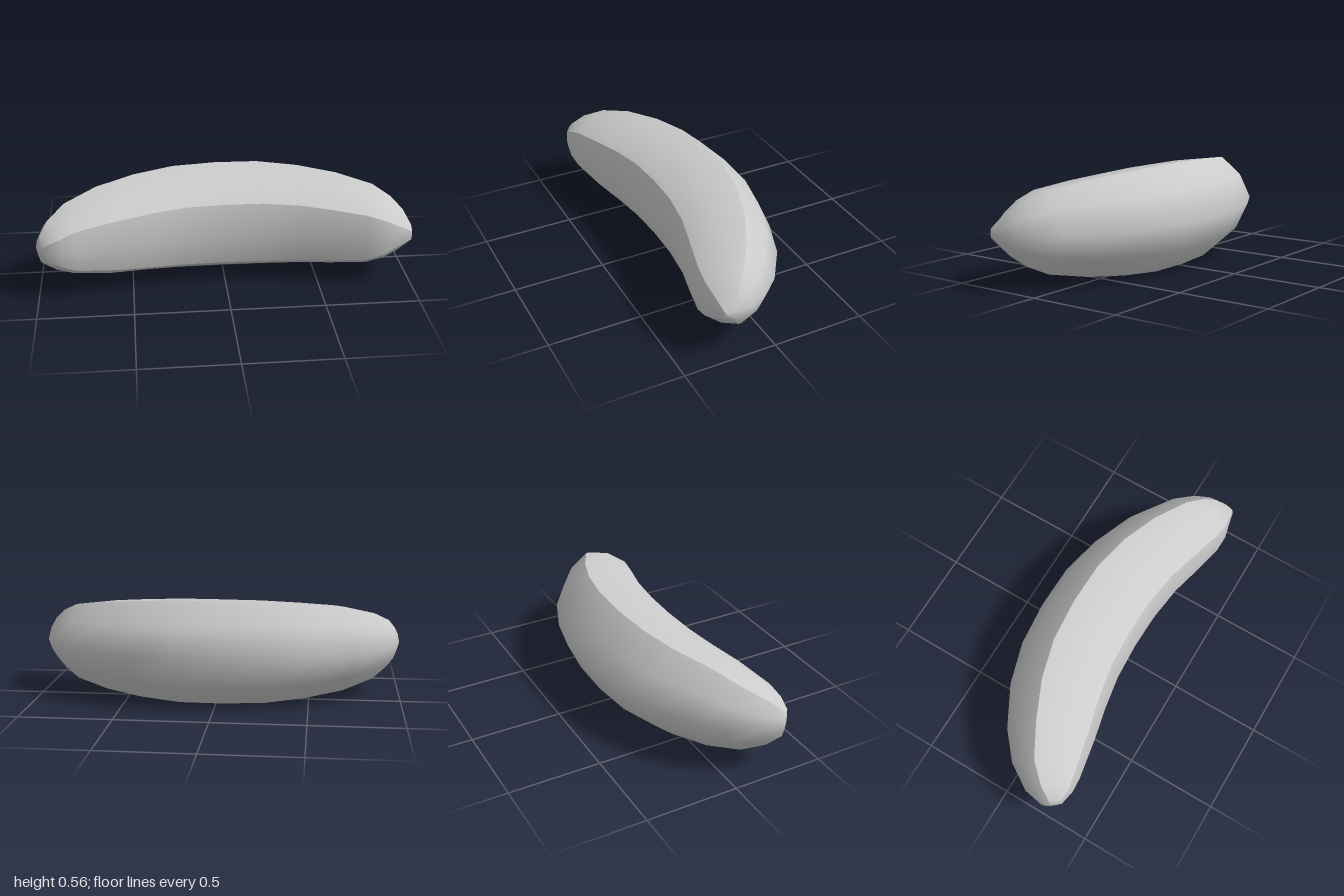
import * as THREE from 'three';

// Stations along the bend: back x, back z, front x, front z, half height
const STATIONS = [
  [-0.975, 0.285, -0.975, 0.285, 0],
  [-1, 0.24, -0.93, 0.33, 0.075],
  [-0.98, 0.13, -0.86, 0.345, 0.13],
  [-0.89, -0.01, -0.78, 0.34, 0.185],
  [-0.75, -0.13, -0.56, 0.30, 0.235],
  [-0.53, -0.25, -0.38, 0.26, 0.26],
  [-0.30, -0.32, -0.20, 0.23, 0.277],
  [-0.05, -0.345, 0, 0.22, 0.282],
  [0.20, -0.34, 0.20, 0.225, 0.282],
  [0.43, -0.29, 0.40, 0.25, 0.268],
  [0.66, -0.20, 0.56, 0.29, 0.247],
  [0.85, -0.07, 0.74, 0.33, 0.213],
  [0.94, 0.03, 0.83, 0.332, 0.165],
  [0.99, 0.12, 0.90, 0.315, 0.11],
  [1, 0.20, 0.99, 0.295, 0.04],
  [0.998, 0.27, 0.998, 0.27, 0],
];
const MID_Y = 0.282;

// Cross-section bands: [fraction from back to front, fraction of half height].
// Each band is smooth; the ridges between bands stay sharp.
const UPPER = [[0.36, 1], [0.68, 0.925], [0.93, 0.61]];
const BANDS = [
  [[0.36, -1], [0.13, -0.57], [0, 0], [0.13, 0.57], [0.36, 1]], // rounded back
  UPPER,
  [[0.93, 0.61], [1, 0], [0.93, -0.61]], // inner face
  UPPER.map(([t, v]) => [t, -v]).reverse(), // underside
];

function bodyGeometry() {
  const positions = [], index = [];
  const last = STATIONS.length - 2;
  for (const band of BANDS) {
    const start = positions.length / 3, n = band.length;
    for (const [bx, bz, fx, fz, h] of STATIONS) {
      for (const [t, v] of band) {
        positions.push(bx + (fx - bx) * t, MID_Y + h * v, bz + (fz - bz) * t);
      }
    }
    for (let i = 0; i <= last; i++) {
      for (let j = 0; j < n - 1; j++) {
        const a = start + i * n + j, b = a + n;
        // the end stations close to a point
        if (i > 0) index.push(a, a + 1, b);
        if (i < last) index.push(b, a + 1, b + 1);
      }
    }
  }
  const geometry = new THREE.BufferGeometry();
  geometry.setAttribute('position', new THREE.Float32BufferAttribute(positions, 3));
  geometry.setIndex(index);
  geometry.computeVertexNormals();
  return geometry;
}

export function createModel() {
  const model = new THREE.Group();
  const body = new THREE.Mesh(bodyGeometry(), new THREE.MeshStandardMaterial({ color: 0xcccccc }));
  body.name = 'curvedBody';
  model.add(body);
  return model;
}
